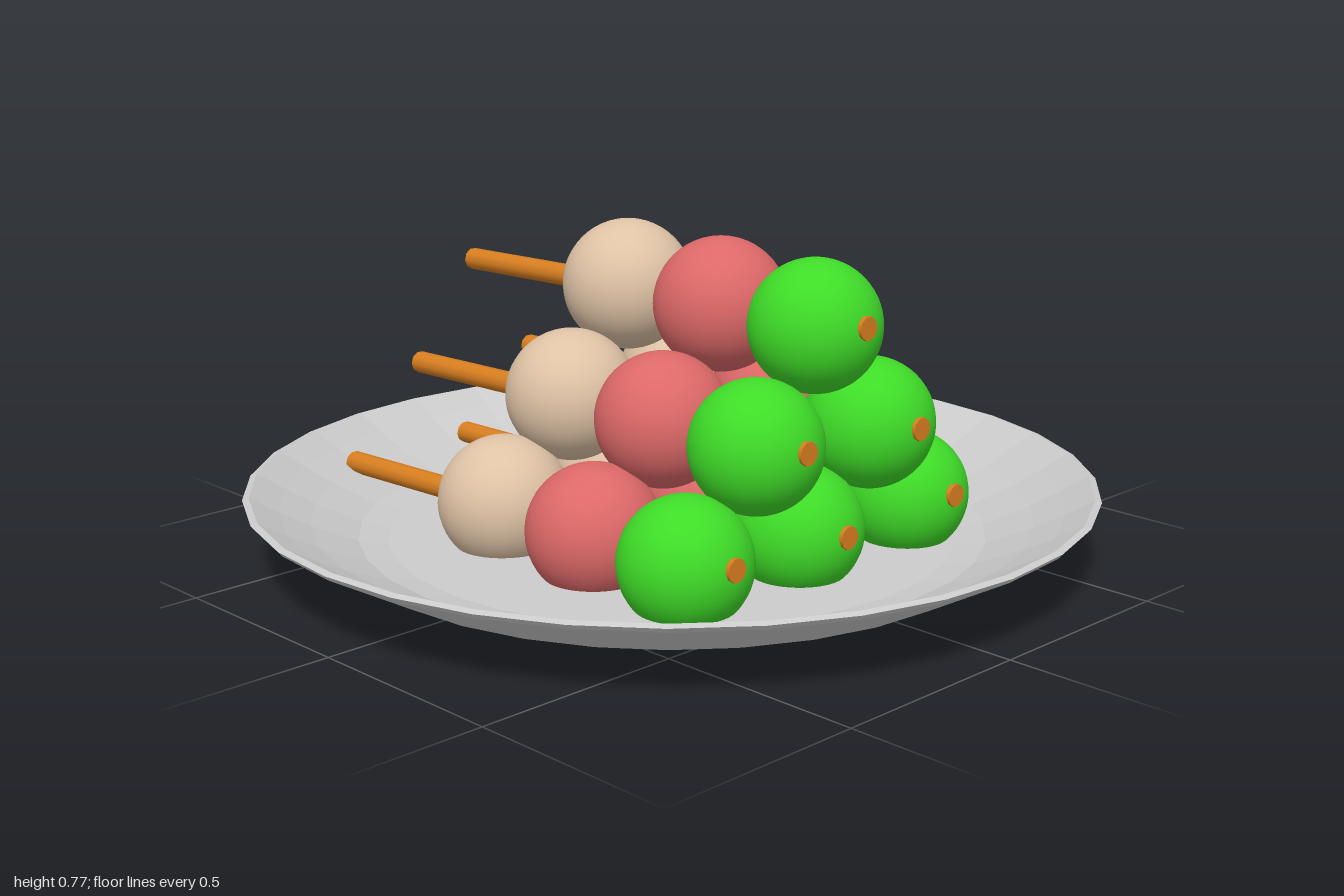
import * as THREE from 'three';

const mat = (color, extra = {}) => new THREE.MeshStandardMaterial({ color, ...extra });

export function createModel() {
  const model = new THREE.Group();
  model.name = 'dumplingPlate';

  // Shallow faceted plate: one closed profile, underside first, then the rim and inside
  const profile = [
    [0, 0.015], [0.65, 0.015], [0.715, 0.024], [0.78, 0.05], [0.99, 0.168], [1, 0.18],
    [0.985, 0.185], [0.92, 0.148], [0.85, 0.112], [0.74, 0.066], [0.67, 0.055], [0, 0.055],
  ].map(([r, y]) => new THREE.Vector2(r, y));
  const plate = new THREE.Mesh(
    new THREE.LatheGeometry(profile, 32),
    mat(0xcccccc, { flatShading: true })
  );
  plate.name = 'plate';
  model.add(plate);

  // Three dumplings per skewer: offset along x, radius, colour
  const dumplings = [
    { name: 'creamDumpling', dx: 0, r: 0.155, material: mat(0xdfc3a6) },
    { name: 'redDumpling', dx: 0.31, r: 0.155, material: mat(0xdd6868) },
    { name: 'greenDumpling', dx: 0.6, r: 0.15, material: mat(0x3fdc28) },
  ];
  for (const d of dumplings) d.geometry = new THREE.SphereGeometry(d.r, 40, 28);
  const wood = mat(0xd97f20);

  // Straight stick between two points
  function stick(from, to) {
    const dir = to.clone().sub(from);
    const mesh = new THREE.Mesh(new THREE.CylinderGeometry(0.027, 0.027, dir.length(), 10), wood);
    mesh.position.copy(from).add(to).multiplyScalar(0.5);
    mesh.quaternion.setFromUnitVectors(new THREE.Vector3(0, 1, 0), dir.normalize());
    mesh.name = 'stick';
    return mesh;
  }

  // Stack of 3 + 2 + 1: first dumpling x, dumpling y, handle end [x, y, z], tip [y, z]
  const skewers = [
    { x: -0.18, y: 0.165, end: [-0.76, 0.145, -0.355], tip: [0.185, -0.35] },
    { x: -0.18, y: 0.159, end: [-0.76, 0.14, 0.01], tip: [0.17, 0.02] },
    { x: -0.193, y: 0.157, end: [-0.78, 0.125, 0.35], tip: [0.175, 0.36] },
    { x: -0.133, y: 0.38, end: [-0.715, 0.35, -0.175], tip: [0.39, -0.16] },
    { x: -0.155, y: 0.387, end: [-0.735, 0.36, 0.17], tip: [0.4, 0.185] },
    { x: -0.167, y: 0.62, end: [-0.75, 0.597, -0.022], tip: [0.635, -0.012] },
  ];
  skewers.forEach(({ x, y, end, tip }, i) => {
    const skewer = new THREE.Group();
    skewer.name = `skewer${i + 1}`;
    const from = new THREE.Vector3(...end);
    const to = new THREE.Vector3(x + 0.755, tip[0], tip[1]);
    skewer.add(stick(from, to));
    for (const d of dumplings) {
      const ball = new THREE.Mesh(d.geometry, d.material);
      const t = (x + d.dx - from.x) / (to.x - from.x);
      ball.position.set(x + d.dx, y, THREE.MathUtils.lerp(from.z, to.z, t));
      if (d.dx > 0.5) ball.position.y -= 0.003;
      ball.name = d.name;
      skewer.add(ball);
    }
    model.add(skewer);
  });

  return model;
}
